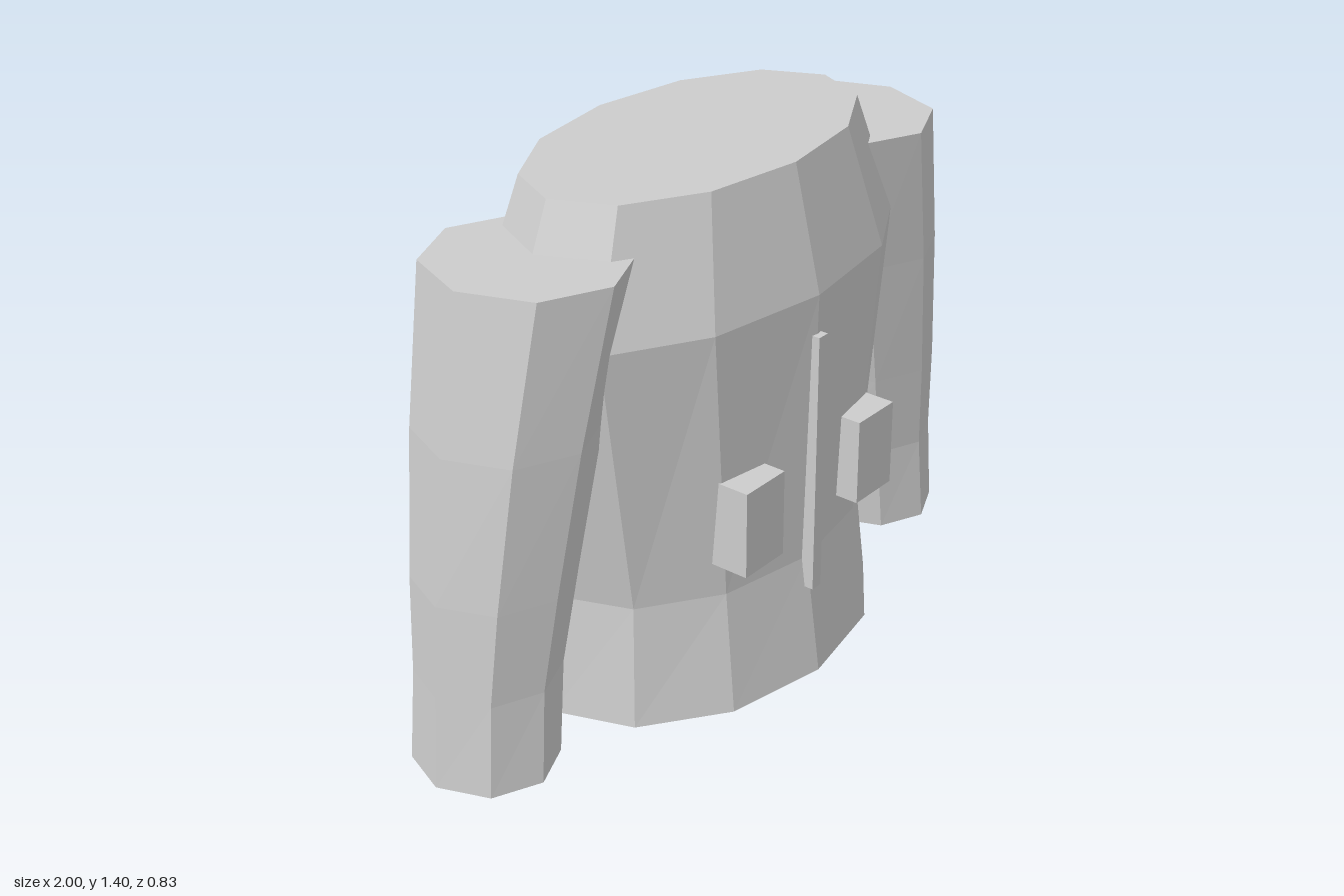
import * as THREE from 'three';

const cloth = new THREE.MeshStandardMaterial({ color: 0xcccccc });
cloth.name = 'light grey cloth';
cloth.flatShading = true;

// Faceted closed tube through elliptical rings [y, centreX, radiusX, radiusZ], listed top to bottom
function loft(name, sides, rings) {
  const spans = rings.length - 1;
  const geometry = new THREE.CylinderGeometry(1, 1, 1, sides, spans).toNonIndexed();
  const p = geometry.attributes.position;
  for (let i = 0; i < p.count; i++) {
    const [y, cx, rx, rz] = rings[Math.round((0.5 - p.getY(i)) * spans)];
    p.setXYZ(i, cx + p.getX(i) * rx, y, p.getZ(i) * rz);
  }
  geometry.computeVertexNormals();
  const mesh = new THREE.Mesh(geometry, cloth);
  mesh.name = name;
  return mesh;
}

function box(name, w, h, d, x, y, z) {
  const mesh = new THREE.Mesh(new THREE.BoxGeometry(w, h, d), cloth);
  mesh.position.set(x, y, z);
  mesh.name = name;
  return mesh;
}

export function createModel() {
  const jacket = new THREE.Group();
  jacket.name = 'jacket';

  // Twelve-sided body: neck opening, chest, waist, flared hem
  jacket.add(loft('body', 12, [
    [1.4, 0, 0.542, 0.308],
    [1.075, 0, 0.68, 0.387],
    [0.33, 0, 0.545, 0.37],
    [0, 0, 0.578, 0.417],
  ]));

  // Front fastening strip
  jacket.add(box('zipper', 0.035, 0.72, 0.06, 0, 0.61, 0.373));

  for (const side of [1, -1]) {
    const prefix = side > 0 ? 'left' : 'right';

    // Eight-sided sleeve curving outward to the cuff
    jacket.add(loft(prefix + 'Sleeve', 8, [
      [1.28, side * 0.61, 0.242, 0.262],
      [0.885, side * 0.7, 0.222, 0.232],
      [0.51, side * 0.765, 0.201, 0.203],
      [0.26, side * 0.8, 0.182, 0.183],
      [0.01, side * 0.822, 0.178, 0.19],
    ]));

    // Front pocket
    jacket.add(box(prefix + 'Pocket', 0.15, 0.235, 0.12, side * 0.234, 0.547, 0.35));
  }
  return jacket;
}
